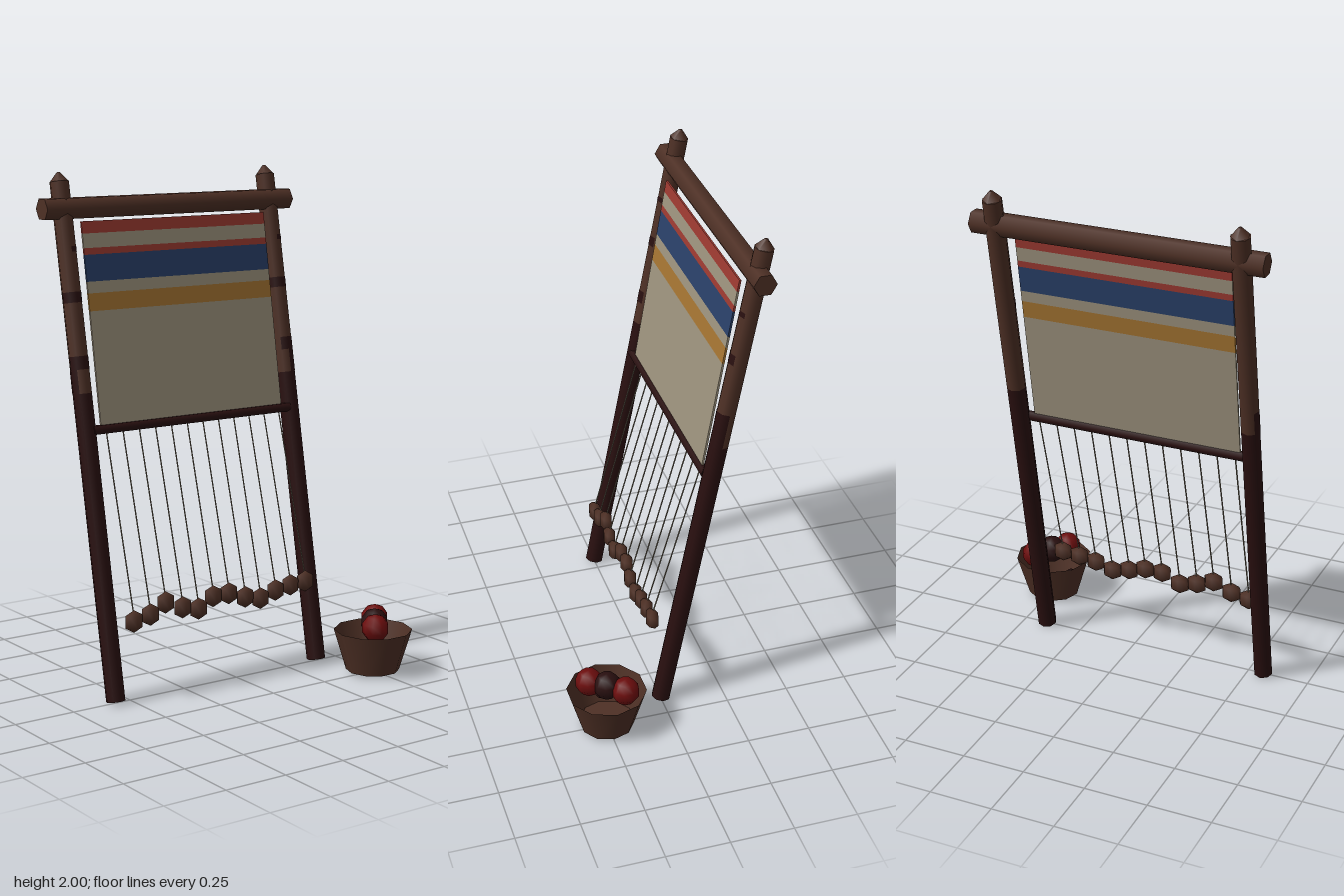
import * as THREE from 'three';

const mat = (name, color) => {
  const m = new THREE.MeshStandardMaterial({ color });
  m.name = name;
  return m;
};

export function createModel() {
  const wood = mat('brown wood', 0x4e3025);
  const dark = mat('dark wood', 0x290f0f);
  const cream = mat('cream wool', 0x9d927d);
  const red = mat('red wool', 0x9d3a31);
  const blue = mat('blue wool', 0x2a4069);
  const gold = mat('gold wool', 0xa47432);
  const thread = mat('warp thread', 0x857a68);
  const yarnRed = mat('deep red yarn', 0x6c0d0d);
  const basketWood = mat('basket wood', 0x4e3025);
  basketWood.side = THREE.DoubleSide;

  const model = new THREE.Group();
  model.name = 'standingLoom';
  const add = (parent, name, geo, material, x = 0, y = 0, z = 0) => {
    const mesh = new THREE.Mesh(geo, material);
    mesh.name = name;
    mesh.position.set(x, y, z);
    parent.add(mesh);
    return mesh;
  };

  // Leaning frame: heights below are measured along the slope
  const lean = Math.atan(0.37 / 1.98);
  const frame = new THREE.Group();
  frame.name = 'leaningFrame';
  frame.rotation.x = -lean;
  model.add(frame);
  const up = y => y / Math.cos(lean);

  // Posts: dark foot, brown upper part, pointed tip and dark bark patches
  const r = 0.038;
  const section = (parent, name, y0, y1, geo, material) => {
    const h = up(y1) - up(y0);
    add(parent, name, geo(h), material, 0, up(y0) + h / 2, 0);
  };
  const shaft = h => new THREE.CylinderGeometry(r, r, h, 8);
  const tip = h => new THREE.CylinderGeometry(0.006, 0.037, h, 5).rotateY(Math.PI);
  const patch = (parent, y0, y1, start, sides) => section(parent, 'barkPatch', y0, y1,
    h => new THREE.CylinderGeometry(r + 0.001, r + 0.001, h, sides, 1, true,
      start * Math.PI / 4, sides * Math.PI / 4), dark);
  for (const [x, name, flip] of [[-0.563, 'rightPost', 0], [0.401, 'leftPost', 1]]) {
    const post = new THREE.Group();
    post.name = name;
    post.position.x = x;
    frame.add(post);
    section(post, 'postFoot', 0.009, 1.17, shaft, dark);
    section(post, 'postShaft', 1.17, 1.965, shaft, wood);
    section(post, 'postTip', 1.965, 2.0, tip, wood);
    patch(post, 1.51, 1.55, -2, 3);
    patch(post, 1.26, 1.31, flip ? -1 : -2, 3);
    patch(post, 1.17, 1.26, flip ? 0 : -3, 2);
    patch(post, 1.7, 1.72, 0, 1);
  }

  // Woven cloth: stacked bands of colour, hung from the front of the beam
  const cloth = new THREE.Group();
  cloth.name = 'wovenCloth';
  const tilt = Math.atan(0.164);
  cloth.position.set(-0.082, 1.045, -0.176);
  cloth.rotation.x = -tilt;
  model.add(cloth);
  const bands = [
    [1.045, 1.478, cream], [1.478, 1.545, gold], [1.545, 1.589, cream], [1.589, 1.69, blue],
    [1.69, 1.715, red], [1.715, 1.77, cream], [1.77, 1.816, red],
  ];
  for (const [y0, y1, m] of bands) {
    const h = (y1 - y0) / Math.cos(tilt);
    const y = (y0 - 1.045) / Math.cos(tilt) + h / 2;
    add(cloth, 'clothBand', new THREE.BoxGeometry(0.855, h, 0.008), m, 0, y, 0);
  }

  // Top beam resting across the posts, and the dark heddle bar
  const bar = (name, radius, length, sides, m, y, z) => add(model, name,
    new THREE.CylinderGeometry(radius, radius, length, sides).rotateZ(Math.PI / 2), m, -0.081, y, z);
  bar('topBeam', 0.045, 1.148, 6, wood, 1.865, -0.342);
  bar('heddleBar', 0.019, 0.93, 6, dark, 1.033, -0.174);

  // Warp threads, each pulled down by a clay weight
  const heights = [0.315, 0.33, 0.365, 0.335, 0.318, 0.355, 0.355, 0.33, 0.313, 0.335, 0.345, 0.35];
  heights.forEach((y, i) => {
    const x = -0.487 + i * 0.0743;
    const z = [2, 5, 6].includes(i) ? 0.007 : 0.014;
    const top = new THREE.Vector3(x, 1.033, -0.174);
    const end = new THREE.Vector3(x, y + 0.02, z);
    const line = new THREE.LineCurve3(top, end);
    add(model, 'warpThread', new THREE.TubeGeometry(line, 1, 0.003, 4), thread);
    add(model, 'loomWeight', new THREE.SphereGeometry(0.044, 8, 3).scale(1, 1, 0.64), wood, x, y, z);
  });

  // Basket: open bowl with a floor and a dark underside
  const basket = new THREE.Group();
  basket.name = 'yarnBasket';
  basket.position.set(0.494, 0, 0.25);
  model.add(basket);
  const bowl = new THREE.CylinderGeometry(0.157, 0.107, 0.166, 10, 1, true).rotateY(Math.PI / 10);
  add(basket, 'basketBowl', bowl, basketWood, 0, 0.095, 0);
  const disc = radius => new THREE.CylinderGeometry(radius, radius, 0.008, 10).rotateY(Math.PI / 10);
  add(basket, 'basketFloor', disc(0.108), wood, 0, 0.024, 0);
  add(basket, 'basketBase', disc(0.1), dark, 0, 0.016, 0);

  // Balls of yarn
  const balls = [
    [0.057, 0.202, -0.06, 0.056, yarnRed], [-0.037, 0.202, 0.06, 0.056, yarnRed],
    [0.008, 0.205, 0, 0.056, dark], [-0.08, 0.1, 0, 0.025, dark],
  ];
  for (const [x, y, z, radius, m] of balls)
    add(basket, 'yarnBall', new THREE.SphereGeometry(radius, 9, 5), m, x, y, z);

  return model;
}
